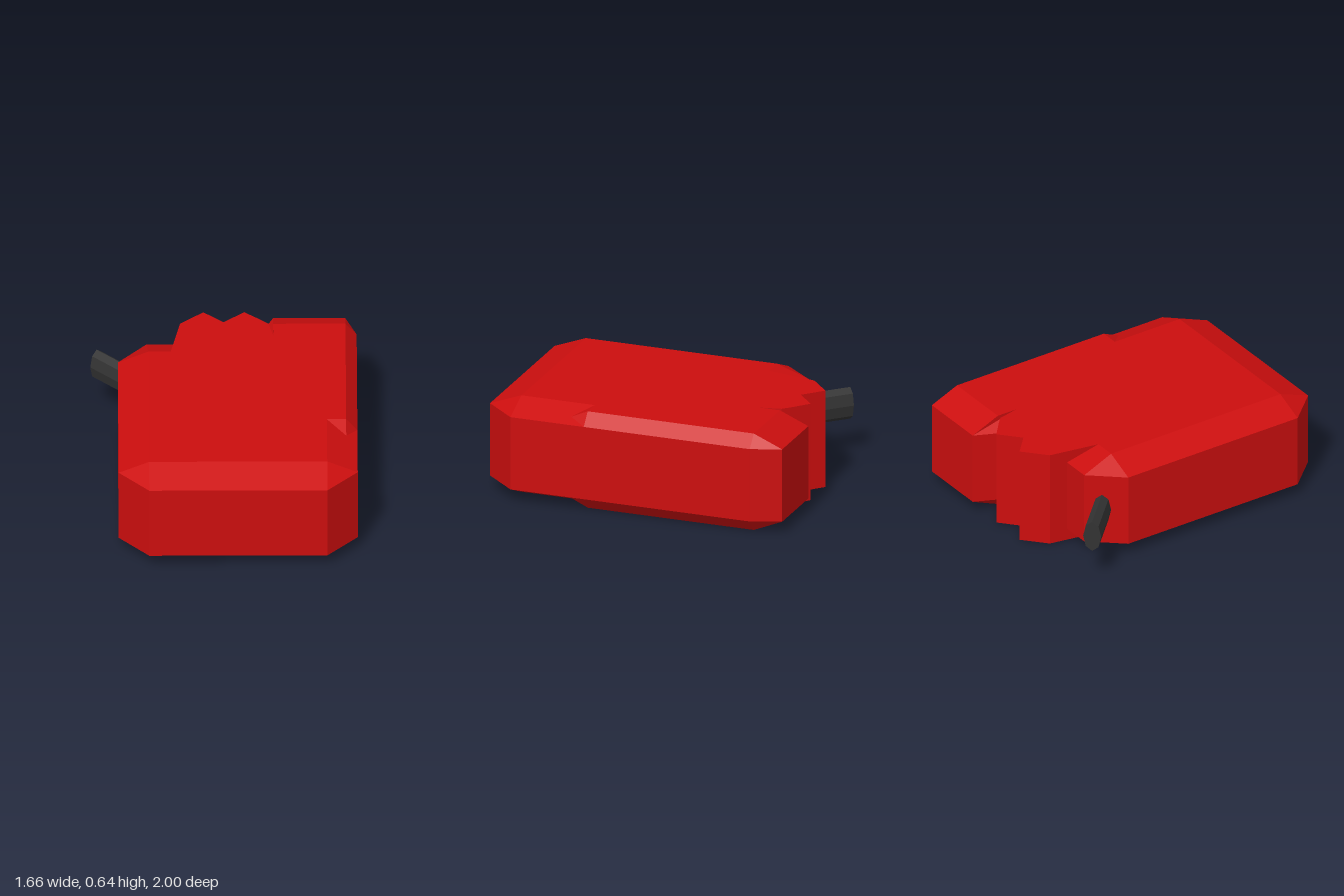
import * as THREE from 'three';

const HEIGHT = 0.64, BEVEL = 0.08;

// Slab with bevelled rims: outer and cap are matching [x, z] loops, counter-clockwise from above.
function bevelledSlab(outer, cap) {
  const levels = [[cap, 0], [outer, BEVEL], [outer, HEIGHT - BEVEL], [cap, HEIGHT]];
  const rings = levels.map(([loop, y]) => loop.map(([x, z]) => new THREE.Vector3(x, y, z)));
  const positions = [];
  const tri = (a, b, c) => {
    const area = b.clone().sub(a).cross(c.clone().sub(a)).length();
    if (area > 1e-7) for (const p of [a, b, c]) positions.push(p.x, p.y, p.z);
  };
  const n = outer.length;
  for (let k = 0; k < 3; k++) {
    for (let i = 0; i < n; i++) {
      const j = (i + 1) % n, lo = rings[k], hi = rings[k + 1];
      tri(lo[i], lo[j], hi[j]);
      tri(lo[i], hi[j], hi[i]);
    }
  }
  const contour = cap.map(([x, z]) => new THREE.Vector2(x, -z));
  for (const [a, b, c] of THREE.ShapeUtils.triangulateShape(contour, [])) {
    tri(rings[3][a], rings[3][b], rings[3][c]);
    tri(rings[0][a], rings[0][c], rings[0][b]);
  }
  const geometry = new THREE.BufferGeometry();
  geometry.setAttribute('position', new THREE.Float32BufferAttribute(positions, 3));
  geometry.computeVertexNormals();
  return geometry;
}

export function createModel() {
  const group = new THREE.Group();
  const red = new THREE.MeshStandardMaterial({ color: 0xcc0e0e, flatShading: true });
  const dark = new THREE.MeshStandardMaterial({ color: 0x333333, flatShading: true });
  const add = (name, geometry, material) => {
    const mesh = new THREE.Mesh(geometry, material);
    mesh.name = name;
    group.add(mesh);
    return mesh;
  };

  // Main block with chamfered corners
  add('mainBody', bevelledSlab(
    [[-0.66, 0.79], [-0.47, 1], [0.64, 1], [0.83, 0.79], [0.83, 0.3], [0.5, -0.7], [-0.48, -0.7], [-0.66, -0.49]],
    [[-0.47, 0.79], [-0.47, 0.79], [0.64, 0.79], [0.64, 0.79], [0.64, 0.3], [0.5, -0.49], [-0.47, -0.49], [-0.47, -0.49]],
  ), red);

  // Longer block along the left side, ramping into the main block at its front end
  add('sideBlock', bevelledSlab(
    [[0.83, 0.3], [0.83, -0.81], [0.76, -1], [0.31, -1], [0.22, -0.8], [0.31, -0.5], [0.31, 0.476], [0.76, 0.476]],
    [[0.76, 0.3], [0.76, -0.81], [0.76, -0.81], [0.31, -0.81], [0.31, -0.67], [0.31, -0.5], [0.31, 0.3], [0.76, 0.3]],
  ), red);

  // Full-height zigzag ridges on the back
  const ridges = [[0.31, 0], [0.31, -0.67], [0.28, -0.81], [0.24, -0.85], [0.13, -0.945], [0, -0.83],
    [-0.125, -0.945], [-0.27, -0.815], [-0.33, -0.49], [-0.33, 0]];
  add('backRidges', bevelledSlab(ridges, ridges), red);

  // Flattened octagonal rod leaving the back right corner diagonally
  const rod = new THREE.CylinderGeometry(1, 1, 0.5, 8);
  rod.scale(0.057, 1, 0.105).rotateX(Math.PI / 2).rotateY(Math.PI / 4);
  add('rod', rod, dark).position.set(-0.613, 0.32, -0.676);

  return group;
}
